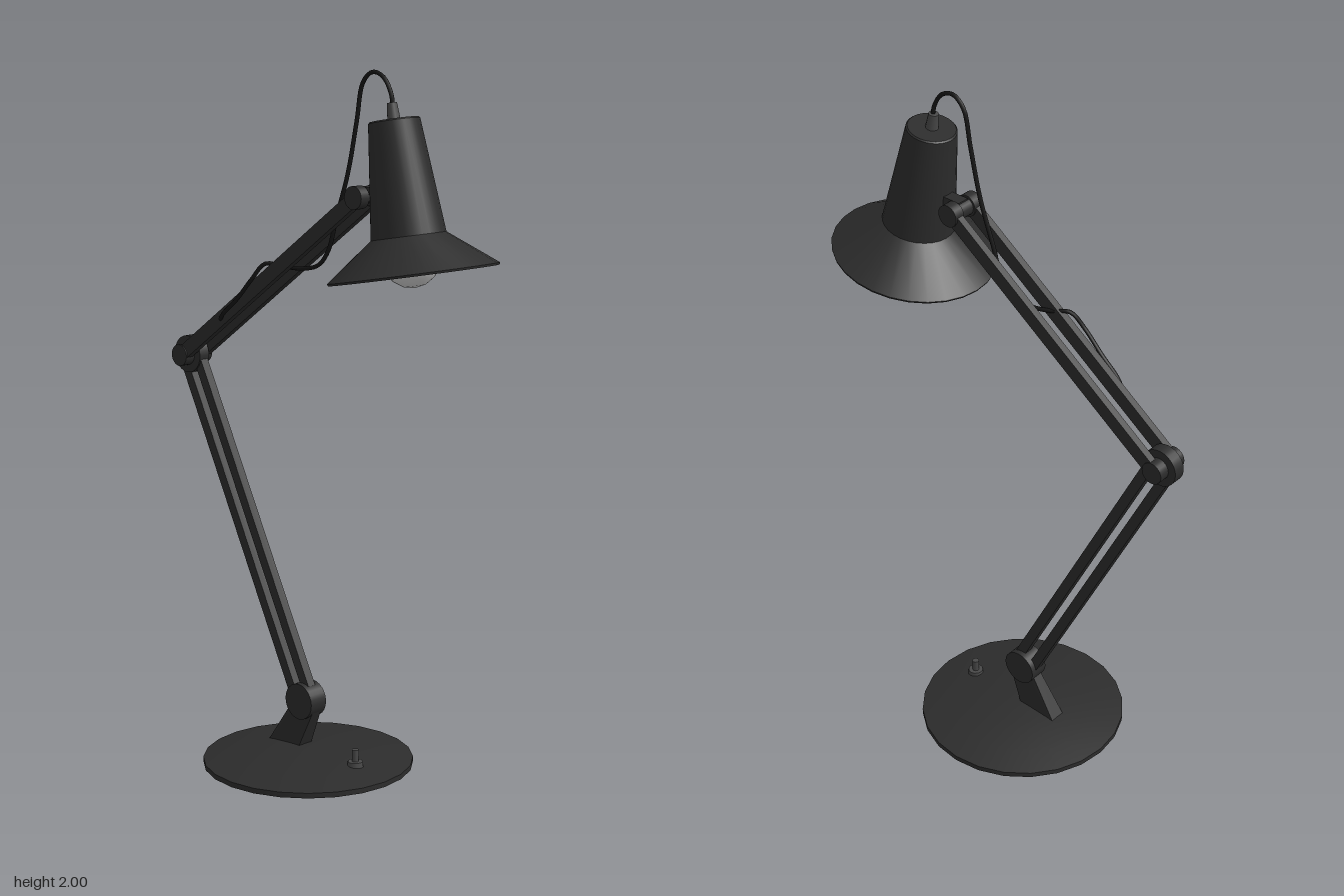
import * as THREE from 'three';
import { toCreasedNormals } from 'three/addons/utils/BufferGeometryUtils.js';

const material = (name, color) => {
  const m = new THREE.MeshStandardMaterial({ color });
  m.name = name;
  return m;
};

export function createModel() {
  const lamp = new THREE.Group();
  lamp.name = 'deskLamp';
  const black = material('satinBlack', 0x2c2c2c);
  const rubber = material('cableBlack', 0x161616);
  const grey = material('fittingGrey', 0x484848);
  const white = material('reflectorWhite', 0xc4c4c4);
  const glass = material('bulbGlass', 0xd0d0d0);

  const add = (name, geometry, mat, parent = lamp) => {
    const mesh = new THREE.Mesh(geometry, mat);
    mesh.name = name;
    parent.add(mesh);
    return mesh;
  };
  // Profile turned round y; points climbing in y face outwards
  const turned = (points, sides = 24) => toCreasedNormals(
    new THREE.LatheGeometry(points.map(([x, y]) => new THREE.Vector2(x, y)), sides), 0.5);
  // Pivot cylinder lying along z
  const pivot = (name, x, y, z, radius, depth) => {
    const g = new THREE.CylinderGeometry(radius, radius, depth, 24).rotateX(Math.PI / 2);
    add(name, g, black).position.set(x, y, z);
  };
  // Flat bar between two points, moved sideways in its own plane and in z
  const bar = (name, a, b, width, depth, side, z) => {
    const dx = b[0] - a[0], dy = b[1] - a[1], length = Math.hypot(dx, dy);
    const mesh = add(name, new THREE.BoxGeometry(length, width, depth), black);
    mesh.position.set((a[0] + b[0]) / 2 - dy / length * side, (a[1] + b[1]) / 2 + dx / length * side, z);
    mesh.rotation.z = Math.atan2(dy, dx);
  };

  const foot = [-0.055, 0.185], elbow = [-0.53, 1.145], wrist = [0.18, 1.66];

  // Domed base
  add('base', turned([[0, 0], [0.305, 0], [0.305, 0.015], [0.22, 0.032], [0.12, 0.045], [0.05, 0.05], [0, 0.051]]), black)
    .position.x = -0.045;

  // Switch on the base
  add('switchCollar', new THREE.CylinderGeometry(0.022, 0.024, 0.02, 12), grey).position.set(0.145, 0.038, 0);
  add('switchButton', new THREE.CylinderGeometry(0.01, 0.01, 0.045, 12), grey).position.set(0.145, 0.06, 0);

  // Slanted neck, a little wider at its foot
  const neck = new THREE.Shape([[-0.19, 0.03], [-0.065, 0.03], [-0.055, 0.055], [-0.007, 0.165], [-0.055, 0.2], [-0.1, 0.165]]
    .map(([x, y]) => new THREE.Vector2(x, y)));
  const neckGeometry = new THREE.ExtrudeGeometry(neck, { depth: 0.05, bevelEnabled: false }).translate(0, 0, -0.025);
  const p = neckGeometry.attributes.position;
  for (let i = 0; i < p.count; i++) p.setZ(i, p.getZ(i) * (p.getY(i) > 0.1 ? 0.65 : 1));
  neckGeometry.computeVertexNormals();
  add('neck', neckGeometry, black);
  pivot('footPivot', ...foot, 0, 0.053, 0.06);

  // Lower arm: two parallel rods
  for (const side of [-1, 1]) bar('lowerArmRod', foot, elbow, 0.03, 0.027, side * 0.028, 0);

  // Elbow
  pivot('elbowDisc', ...elbow, 0, 0.055, 0.036);
  pivot('elbowPin', ...elbow, 0, 0.012, 0.1);

  // Upper arm: two side bars with rounded knuckles
  for (const s of [-1, 1]) {
    bar('upperArmBar', elbow, wrist, 0.042, 0.021, 0, s * 0.037);
    pivot('elbowKnuckle', ...elbow, s * 0.035, 0.032, 0.032);
    pivot('wristKnuckle', ...wrist, s * 0.038, 0.032, 0.032);
  }
  pivot('wristPin', ...wrist, 0, 0.026, 0.05);

  // Lamp head, hung from the centre of the shade's top
  const head = new THREE.Group();
  head.name = 'lampHead';
  head.position.set(0.279, 1.872, 0);
  head.rotation.z = 0.18;
  lamp.add(head);
  add('shade', turned([[0.231, -0.416], [0.233, -0.41], [0.102, -0.311], [0.07, -0.004], [0.066, 0], [0, 0]], 28), black, head);
  add('reflector', turned([[0, -0.02], [0.064, -0.02], [0.096, -0.314], [0.231, -0.416]], 28), white, head);
  add('cableCap', new THREE.CylinderGeometry(0.014, 0.018, 0.045, 12), grey, head).position.y = 0.022;
  add('bulbSocket', new THREE.CylinderGeometry(0.038, 0.038, 0.16, 16), grey, head).position.y = -0.1;
  const bulb = [[0, -0.45], [0.03, -0.444], [0.057, -0.426], [0.075, -0.398], [0.08, -0.37], [0.075, -0.342],
    [0.058, -0.305], [0.043, -0.265], [0.036, -0.22], [0.034, -0.17]];
  add('bulb', new THREE.LatheGeometry(bulb.map(([x, y]) => new THREE.Vector2(x, y)), 24), glass, head);

  // Bracket from wrist to shade
  add('shadeBracket', new THREE.BoxGeometry(0.09, 0.042, 0.036), black).position.set(0.215, 1.667, 0);

  // Cable from the cap, under the arm and along its front bar
  const path = [[0.276, 1.9, 0], [0.268, 1.94, 0], [0.24, 1.982, 0], [0.2, 1.994, 0], [0.165, 1.965, 0], [0.142, 1.86, 0],
    [0.11, 1.72, 0], [0.065, 1.59, 0], [0.035, 1.5, 0], [0, 1.457, 0.004], [-0.06, 1.443, 0.012], [-0.12, 1.446, 0.028],
    [-0.165, 1.45, 0.05], [-0.2, 1.405, 0.068], [-0.26, 1.34, 0.072], [-0.32, 1.295, 0.066], [-0.355, 1.272, 0.046]];
  const curve = new THREE.CatmullRomCurve3(path.map(q => new THREE.Vector3(...q)));
  add('cable', new THREE.TubeGeometry(curve, 90, 0.006, 8), rubber);

  return lamp;
}
